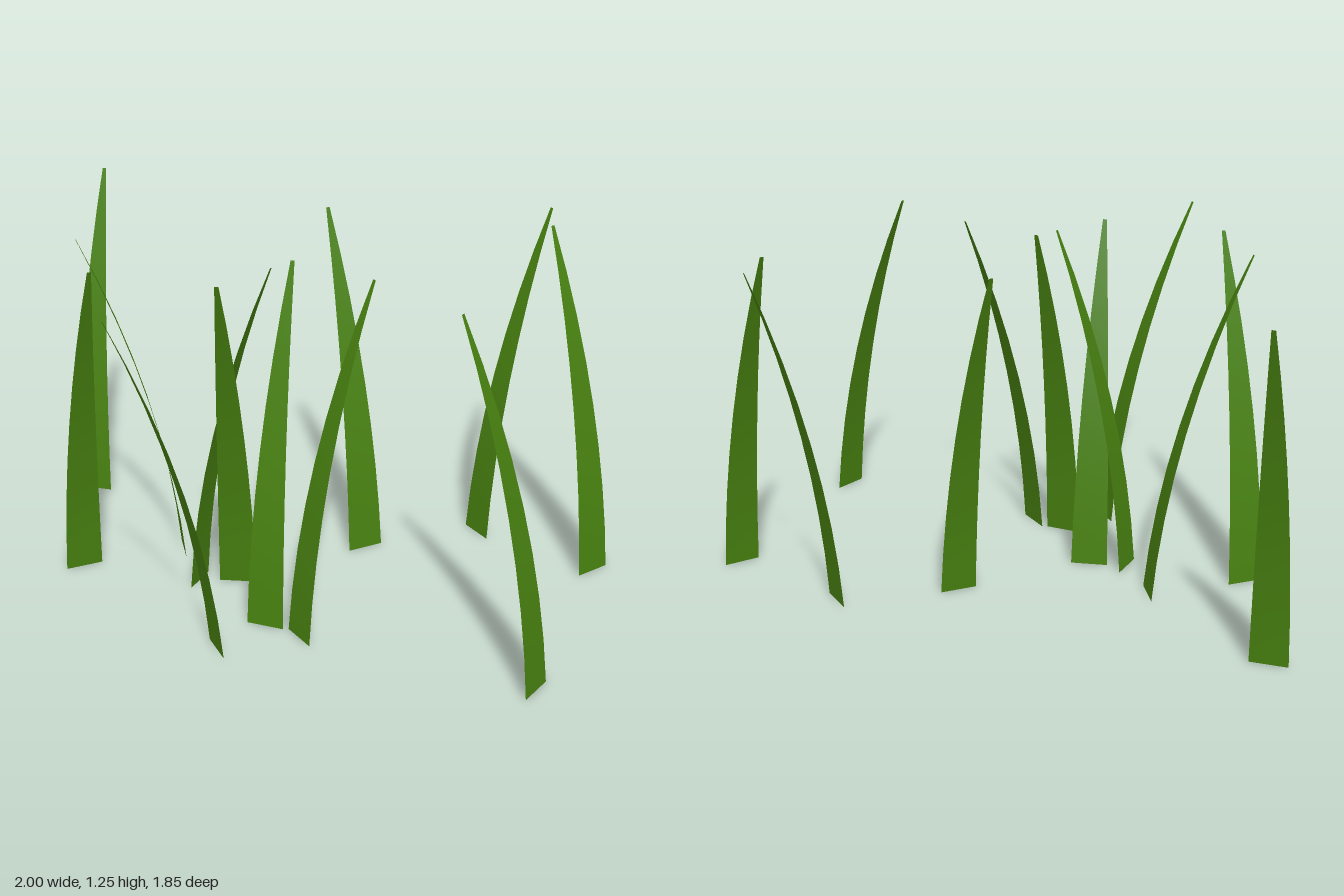
import * as THREE from 'three';

const HEIGHT = 1.245, BASE_WIDTH = 0.134, TIP_WIDTH = 0.014, SEGMENTS = 8;

// Root centre and tip of each blade, as [rootX, rootZ, tipX, tipZ]
const BLADES = [
  [-0.935, -0.652, -0.852, -0.926],
  [-0.56, -0.13, -0.885, -0.075],
  [-0.922, -0.022, -0.812, 0.252],
  [-0.495, 0.102, -0.22, 0.237],
  [-0.355, 0.115, -0.395, 0.405],
  [-0.26, 0.43, -0.147, 0.165],
  [-0.145, 0.512, 0.113, 0.36],
  [-0.425, 0.572, -0.735, 0.695],
  [0.62, 0.87, 0.365, 0.675],
  [0.12, -0.118, -0.008, -0.4],
  [0.55, -0.22, 0.8, -0.36],
  [0.942, 0.095, 0.772, -0.16],
];

// A flat tapering strip, bending toward +z by the given lean
function bladeGeometry(lean) {
  const geometry = new THREE.PlaneGeometry(1, 1, 1, SEGMENTS);
  const p = geometry.attributes.position;
  for (let i = 0; i < p.count; i++) {
    const t = p.getY(i) + 0.5;
    const bend = 0.3 * t + 0.7 * t * t;
    const width = THREE.MathUtils.lerp(BASE_WIDTH, TIP_WIDTH, bend);
    p.setXYZ(i, p.getX(i) * width, t * HEIGHT, bend * lean);
  }
  geometry.computeVertexNormals();
  return geometry;
}

export function createModel() {
  const group = new THREE.Group();
  group.name = 'grassPatch';
  const green = new THREE.MeshStandardMaterial({ color: 0x478010, side: THREE.DoubleSide });
  green.name = 'grassGreen';

  BLADES.forEach(([x, z, tipX, tipZ], i) => {
    const dx = tipX - x, dz = tipZ - z;
    const blade = new THREE.Mesh(bladeGeometry(Math.hypot(dx, dz)), green);
    blade.name = `grassBlade${i + 1}`;
    blade.position.set(x, 0, z);
    blade.rotation.y = Math.atan2(dx, dz);
    group.add(blade);
  });
  return group;
}
